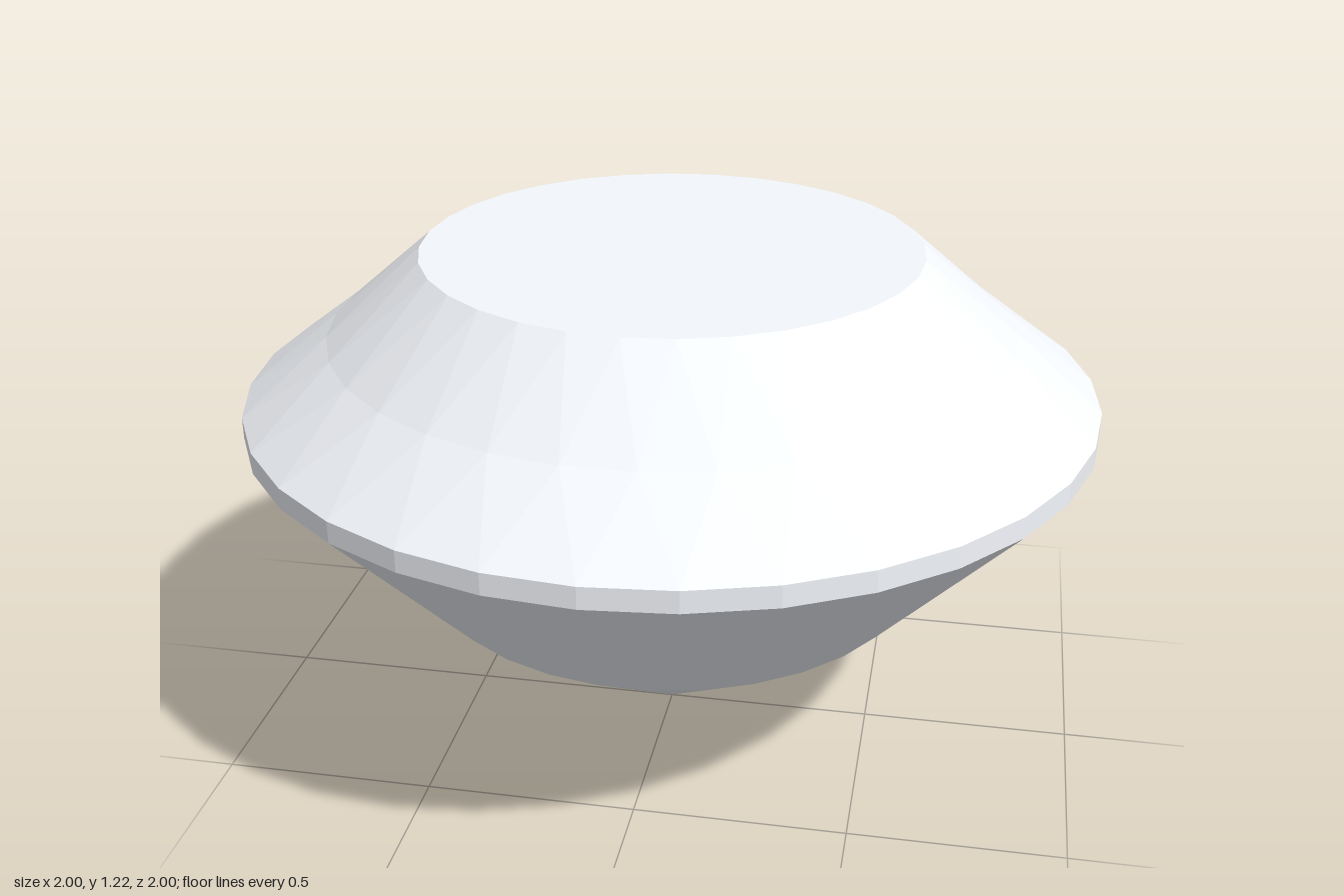
import * as THREE from 'three';

const SIDES = 32;

// Faceted band between two rings {r, y, twist}; twist is in fractions of a facet
function band(name, lower, upper, material) {
  const point = ({ r, y, twist = 0 }, i) => {
    const a = ((i + twist) / SIDES) * Math.PI * 2;
    return [r * Math.sin(a), y, r * Math.cos(a)];
  };
  // the shorter diagonal keeps twisted facets even
  const leansRight = (upper.twist ?? 0) >= (lower.twist ?? 0);
  const pos = [];
  for (let i = 0; i < SIDES; i++) {
    const a = point(lower, i), b = point(lower, i + 1);
    const c = point(upper, i), d = point(upper, i + 1);
    const corners = leansRight ? [a, b, c, b, d, c] : [a, b, d, a, d, c];
    pos.push(...corners.flat());
  }
  const geo = new THREE.BufferGeometry();
  geo.setAttribute('position', new THREE.Float32BufferAttribute(pos, 3));
  geo.computeVertexNormals();
  const mesh = new THREE.Mesh(geo, material);
  mesh.name = name;
  return mesh;
}

export function createModel() {
  const group = new THREE.Group();
  group.name = 'cutGem';
  const material = new THREE.MeshStandardMaterial({ color: 0xf4f7fc, flatShading: true });

  // Rings from the table down to the widest edge and the pavilion
  const tableRing = { r: 0.58, y: 1.22 };
  const starRing = { r: 0.8, y: 1.03, twist: 0.5 };
  const girdleTop = { r: 1, y: 0.88 };
  const girdleBottom = { r: 1, y: 0.83 };
  const pavilionRing = { r: 0.6, y: 0.4, twist: 0.5 };

  // Crown, girdle and pavilion facets
  group.add(
    band('upperCrown', starRing, tableRing, material),
    band('lowerCrown', girdleTop, starRing, material),
    band('girdle', girdleBottom, girdleTop, material),
    band('upperPavilion', pavilionRing, girdleBottom, material),
  );

  // Pointed base, turned half a facet to meet the pavilion ring
  const tip = new THREE.Mesh(
    new THREE.ConeGeometry(pavilionRing.r, pavilionRing.y, SIDES, 1, true, Math.PI / SIDES),
    material);
  tip.name = 'pavilionTip';
  tip.rotation.x = Math.PI;
  tip.position.y = pavilionRing.y / 2;
  group.add(tip);

  // Flat table on top
  const table = new THREE.Mesh(new THREE.CircleGeometry(tableRing.r, SIDES), material);
  table.name = 'table';
  table.rotation.x = -Math.PI / 2;
  table.position.y = tableRing.y;
  group.add(table);

  return group;
}
